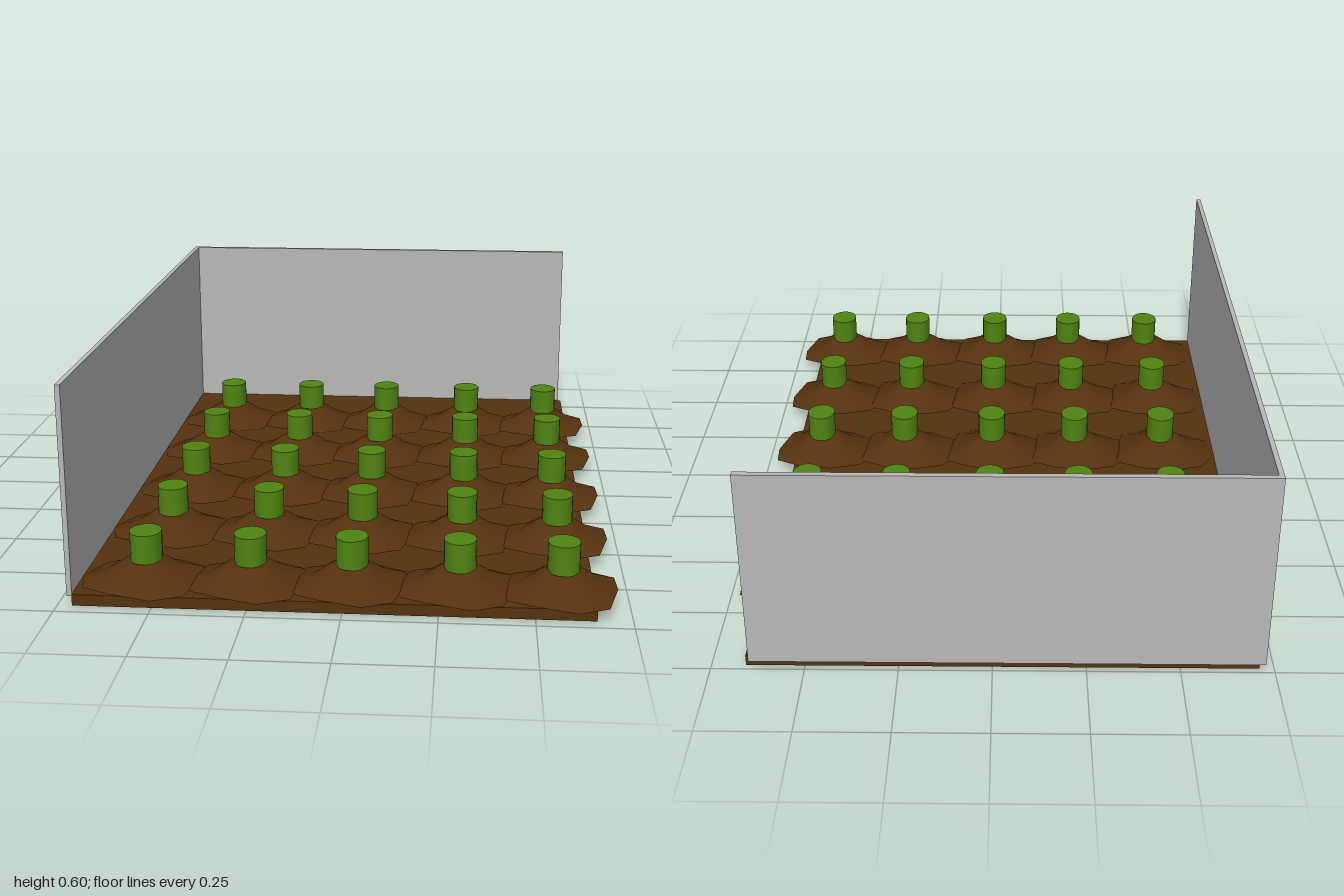
import * as THREE from 'three';

const mat = (name, color) => new THREE.MeshStandardMaterial({ name, color });

// Irregular soil mound: one outline [x, z, rim height], shrunk ring by ring towards the top
const OUTLINE = [
  [0.145, -0.01, 0.038], [0.115, 0.11, 0.034], [0.035, 0.147, 0.034], [-0.08, 0.112, 0.036],
  [-0.16, 0.07, 0.034], [-0.18, -0.02, 0.032], [-0.13, -0.105, 0.037], [-0.04, -0.135, 0.04],
  [0.06, -0.125, 0.042], [0.14, -0.085, 0.04],
];
const RINGS = [[1, 0], [0.8, 0.2], [0.58, 0.42], [0.42, 0.72], [0.28, 0.96], [0.12, 1]]; // scale, rise

function moundGeometry() {
  const n = OUTLINE.length, top = 0.1, pos = [], idx = [];
  for (const [s, rise] of RINGS)
    for (const [x, z, y] of OUTLINE) pos.push(x * s, y + (top - y) * rise, z * s);
  for (let r = 0; r < RINGS.length - 1; r++)
    for (let i = 0; i < n; i++) {
      const a = r * n + i, b = r * n + (i + 1) % n;
      idx.push(a, a + n, b, b, a + n, b + n);
    }
  // top cap
  const last = (RINGS.length - 1) * n, apex = pos.length / 3;
  pos.push(0, top, 0);
  for (let i = 0; i < n; i++) idx.push(last + i, apex, last + (i + 1) % n);
  // underside with its own vertices, so the rim stays sharp
  const base = pos.length / 3;
  for (const [x, z, y] of OUTLINE) pos.push(x, y, z);
  pos.push(0, 0.031, 0);
  for (let i = 0; i < n; i++) idx.push(base + i, base + (i + 1) % n, base + n);

  const g = new THREE.BufferGeometry();
  g.setAttribute('position', new THREE.Float32BufferAttribute(pos, 3));
  g.setIndex(idx);
  g.computeVertexNormals();
  return g;
}

export function createModel() {
  const model = new THREE.Group();
  model.name = 'plantBed';
  const soil = mat('soilBrown', 0x55310f);
  const grey = mat('wallGrey', 0xb8b8b8);
  const green = mat('stemGreen', 0x4f8412);

  // Box given by its minimum and maximum corners
  const box = (name, material, [x0, y0, z0], [x1, y1, z1]) => {
    const m = new THREE.Mesh(new THREE.BoxGeometry(x1 - x0, y1 - y0, z1 - z0), material);
    m.position.set((x0 + x1) / 2, (y0 + y1) / 2, (z0 + z1) / 2);
    m.name = name;
    model.add(m);
  };
  box('soilSlab', soil, [-0.711, 0, -0.983], [0.658, 0.031, 0.96]);
  box('sideWall', grey, [-0.725, 0.025, -1], [-0.711, 0.6, 0.957]);
  box('backWall', grey, [-0.711, 0.025, -1], [0.648, 0.6, -0.983]);

  // Five by five plants, each a stem on a mound
  const mound = moundGeometry();
  const stem = new THREE.CylinderGeometry(0.043, 0.043, 0.08, 20);
  stem.scale(1, 1, 1.15);
  for (const z of [-0.635, -0.267, 0.115, 0.483, 0.849])
    for (const x of [-0.532, -0.252, 0.018, 0.303, 0.574]) {
      const plant = new THREE.Group();
      plant.name = 'plant';
      const heap = new THREE.Mesh(mound, soil);
      heap.name = 'soilMound';
      const stalk = new THREE.Mesh(stem, green);
      stalk.name = 'stem';
      stalk.position.y = 0.134;
      plant.add(heap, stalk);
      plant.position.set(x, 0, z);
      model.add(plant);
    }
  return model;
}
